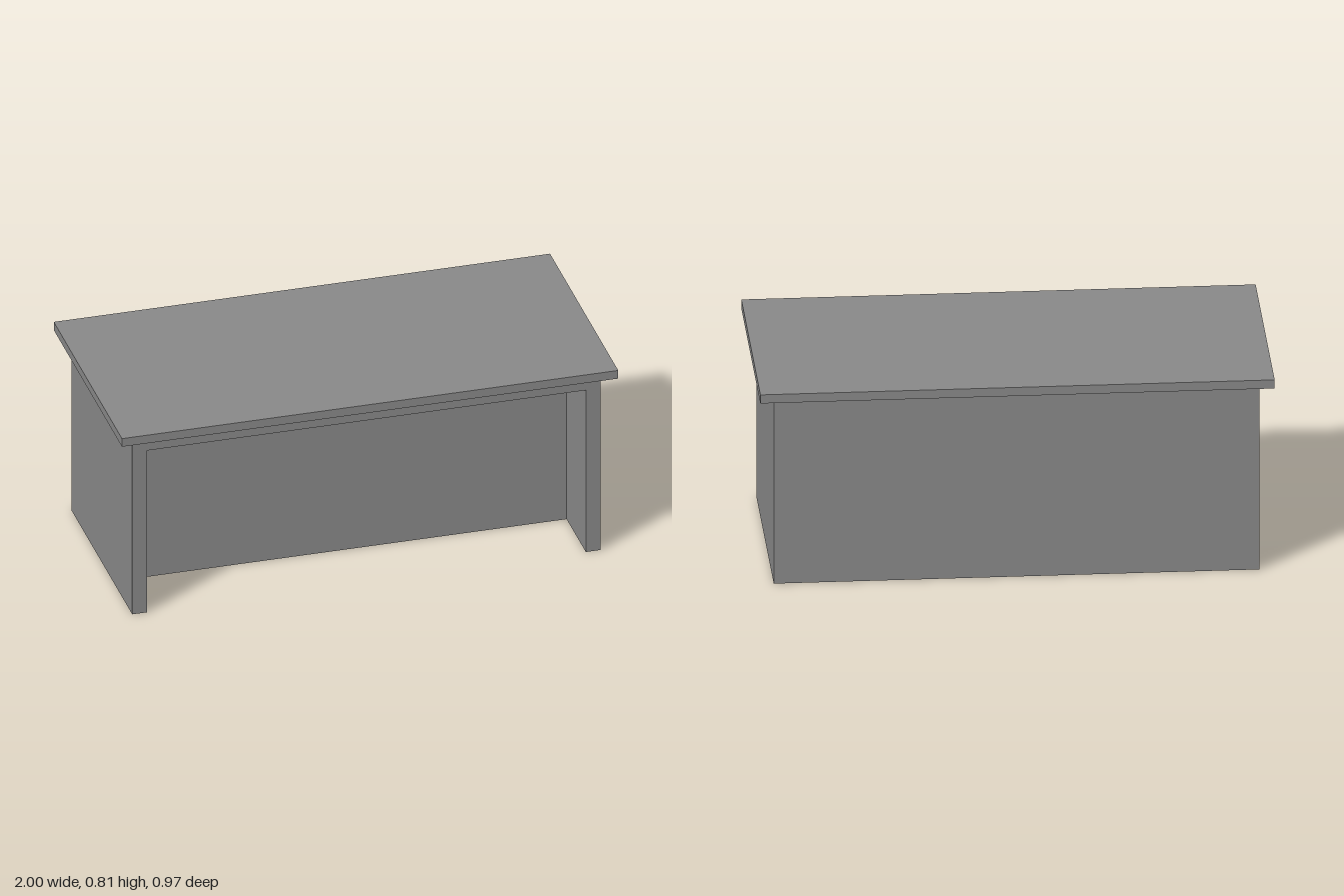
import * as THREE from 'three';

export function createModel() {
  const group = new THREE.Group();
  const grey = new THREE.MeshStandardMaterial({ color: 0x888888 });
  grey.name = 'plain grey';

  const W = 0.944, H = 0.779, D = 0.433; // body half width, height, half depth
  const innerW = 0.884, innerH = 0.717;  // front opening
  const recessZ = 0.16;                  // front face of the solid core

  const add = (name, geometry, x, y, z) => {
    const mesh = new THREE.Mesh(geometry, grey);
    mesh.name = name;
    mesh.position.set(x, y, z);
    group.add(mesh);
  };

  // Overhanging slab
  add('counterTop', new THREE.BoxGeometry(2, 0.036, 0.97), 0, H + 0.018, 0);

  // Solid rear body
  const coreDepth = D + recessZ;
  add('body', new THREE.BoxGeometry(W * 2, H, coreDepth), 0, H / 2, (recessZ - D) / 2);

  // Side walls and top rail framing the front recess
  const arch = new THREE.Shape([
    [-W, 0], [-innerW, 0], [-innerW, innerH], [innerW, innerH],
    [innerW, 0], [W, 0], [W, H], [-W, H],
  ].map(([x, y]) => new THREE.Vector2(x, y)));
  add('frontFrame', new THREE.ExtrudeGeometry(arch, { depth: D - recessZ, bevelEnabled: false }), 0, 0, recessZ);

  return group;
}
